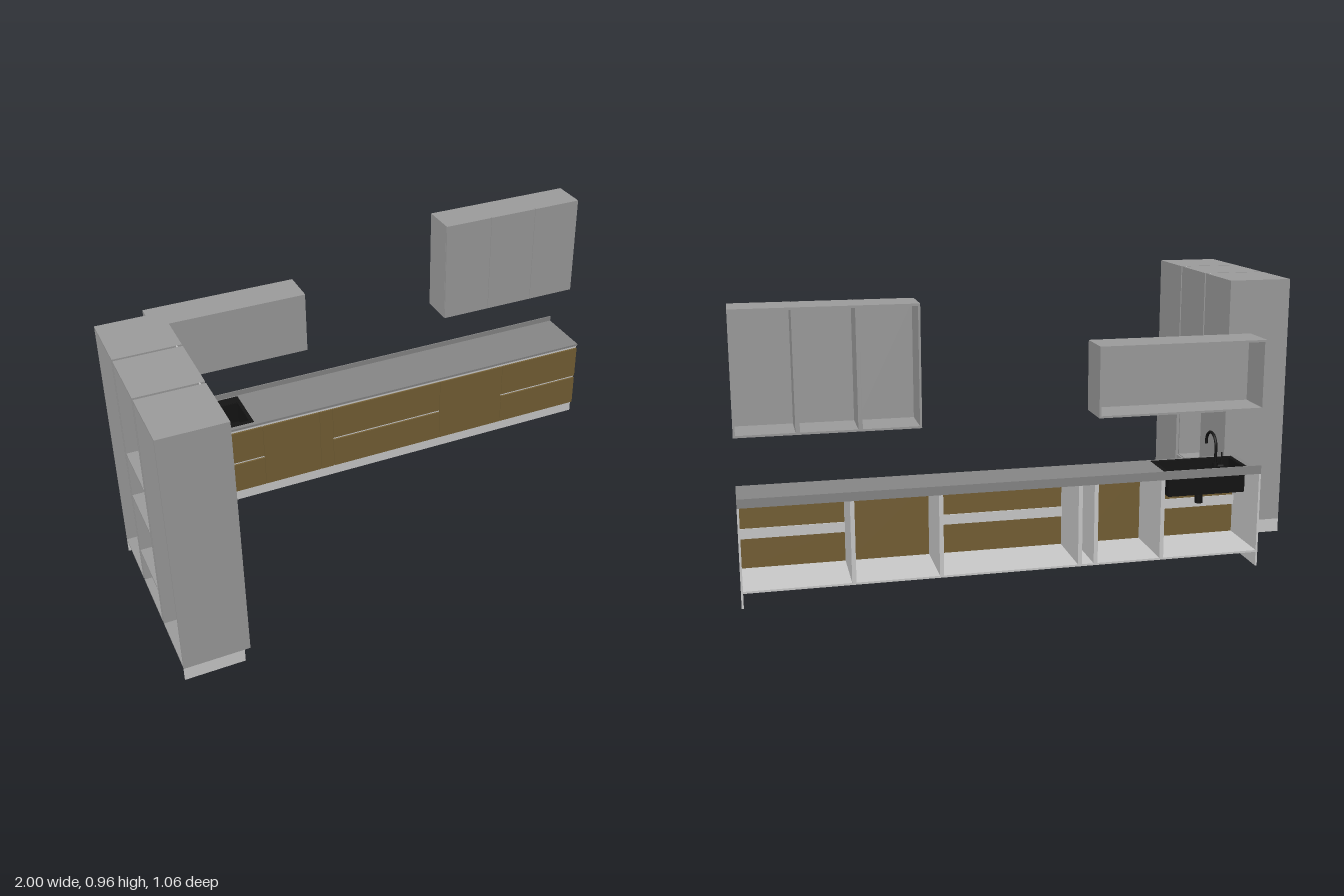
import * as THREE from 'three';

const mat = (color) => new THREE.MeshStandardMaterial({ color, side: THREE.DoubleSide });
const T = 0.007; // panel thickness

export function createModel() {
  const root = new THREE.Group();
  const light = mat(0xcccccc), grey = mat(0x9d9d9d), stone = mat(0x878787);
  const wood = mat(0x756035), black = mat(0x141414);

  const group = (name) => {
    const g = new THREE.Group();
    g.name = name;
    root.add(g);
    return g;
  };
  const add = (parent, name, geometry, material) => {
    const m = new THREE.Mesh(geometry, material);
    m.name = name;
    parent.add(m);
    return m;
  };
  // Box given by its limits on each axis
  const box = (parent, name, material, x0, x1, y0, y1, z0, z1) => {
    const m = add(parent, name, new THREE.BoxGeometry(x1 - x0, y1 - y0, z1 - z0), material);
    m.position.set((x0 + x1) / 2, (y0 + y1) / 2, (z0 + z1) / 2);
    return m;
  };
  // Flat sheet with rectangular holes, each [u0, u1, v0, v1]
  const sheet = (u0, u1, v0, v1, holes, depth) => {
    const rect = (P, a, b, c, d) => {
      const p = new P();
      p.moveTo(a, c); p.lineTo(b, c); p.lineTo(b, d); p.lineTo(a, d); p.closePath();
      return p;
    };
    const s = rect(THREE.Shape, u0, u1, v0, v1);
    holes.forEach((h) => s.holes.push(rect(THREE.Path, ...h)));
    return new THREE.ExtrudeGeometry(s, { depth, bevelEnabled: false });
  };

  // ---- Tall cabinets along the side, fronts facing +x, backs open ----
  const tall = group('tallCabinets');
  const bottom = 0.05, top = 0.96, back = -1, face = -0.777;
  const bays = [[-0.197, 0.039], [0.049, 0.286], [0.296, 0.53]];
  bays.forEach(([z0, z1], i) => {
    box(tall, 'tallSide', grey, back, face, bottom, top, z0, z0 + T);
    box(tall, 'tallSide', grey, back, face, bottom, top, z1 - T, z1);
    const levels = i === 1 ? [bottom, 0.186, 0.427, 0.6, top - T] : [bottom, top - T];
    levels.forEach((y) => box(tall, 'tallShelf', grey, back, face, y, y + T, z0 + T, z1 - T));
    const doors = i === 1 ? [[bottom, 0.19], [0.602, top]] : [[bottom, top]];
    doors.forEach(([y0, y1]) => box(tall, 'tallDoor', grey, face, -0.77, y0, y1, z0, z1));
  });
  // grip profiles in the gaps between the cabinets
  [0.044, 0.291].forEach((z) =>
    box(tall, 'tallGripProfile', light, -0.79, -0.786, bottom, top, z - 0.005, z + 0.005));

  // Plinth with ventilation slots
  const slots = [];
  [[-0.165, 0.003], [0.33, 0.5]].forEach(([a, b]) => {
    const mid = (a + b) / 2 - 0.03;
    for (let r = 0; r < 3; r++) {
      const y = 0.03 + r * 0.0062;
      slots.push([-mid + 0.001, -a, y, y + 0.004], [-b, -mid - 0.001, y, y + 0.004]);
    }
  });
  const vent = add(tall, 'tallPlinth', sheet(-0.53, 0.197, 0, bottom, slots, 0.005), light);
  vent.rotation.y = Math.PI / 2;
  vent.position.x = -0.795;
  box(tall, 'tallPlinthReturn', light, back, -0.79, 0, bottom, -0.197, -0.192);
  box(tall, 'tallPlinthReturn', light, back, -0.79, 0, bottom, 0.525, 0.53);

  // ---- Base cabinets along the back wall ----
  const base = group('baseCabinets');
  const L = -0.765, R = 1, zB = -0.53, zC = -0.312, zD = -0.305;
  const edges = [L, -0.41, -0.175, -0.12, 0.352, 0.64, R];
  const hasDrawers = [true, false, false, true, false, true];
  edges.slice(0, -1).forEach((x0, i) => {
    const x1 = edges[i + 1];
    box(base, 'baseSide', light, x0, x0 + T, bottom, 0.333, zB, zC);
    box(base, 'baseSide', light, x1 - T, x1, bottom, 0.333, zB, zC);
    box(base, 'baseFloor', light, x0 + T, x1 - T, bottom, bottom + T, zB, zC);
    const g = 0.001;
    if (hasDrawers[i]) {
      box(base, 'drawerFront', wood, x0 + g, x1 - g, bottom, 0.175, zC, zD);
      box(base, 'drawerFront', wood, x0 + g, x1 - g, 0.185, 0.32, zC, zD);
      box(base, 'drawerGripProfile', light, x0 + T, x1 - T, 0.163, 0.198, -0.324, -0.32);
    } else {
      box(base, 'baseDoor', wood, x0 + g, x1 - g, bottom, 0.32, zC, zD);
    }
  });
  box(base, 'topGripProfile', light, L + T, R - T, 0.306, 0.333, -0.318, -0.314);
  box(base, 'basePlinth', light, L, R, 0, bottom, -0.323, -0.318);
  box(base, 'plinthReturn', light, L, L + T, 0, bottom, zB, -0.318);
  box(base, 'plinthReturn', light, R - T, R, 0, bottom, zB, -0.318);

  // Worktop with the sink cut-out, and a low upstand
  const sx0 = -0.73, sx1 = -0.45, sz0 = -0.475, sz1 = -0.335;
  const slab = add(base, 'worktop', sheet(L, R, 0.304, 0.53, [[sx0, sx1, -sz1, -sz0]], 0.009), stone);
  slab.rotation.x = -Math.PI / 2;
  slab.position.y = 0.333;
  box(base, 'upstand', stone, L, R, 0.342, 0.363, zB, -0.526);

  // ---- Sink ----
  const sink = group('sink');
  const rim = add(sink, 'sinkRim',
    sheet(-0.742, -0.438, 0.321, 0.518, [[sx0, sx1, -sz1, -sz0]], 0.002), black);
  rim.rotation.x = -Math.PI / 2;
  rim.position.y = 0.342;
  const w = 0.003, yS = 0.255;
  box(sink, 'basinFloor', black, sx0, sx1, yS, yS + w, sz0, sz1);
  [[sx0, sx0 + w], [sx1 - w, sx1]].forEach(([a, b]) =>
    box(sink, 'basinWall', black, a, b, yS, 0.343, sz0, sz1));
  [[sz0, sz0 + w], [sz1 - w, sz1]].forEach(([a, b]) =>
    box(sink, 'basinWall', black, sx0, sx1, yS, 0.343, a, b));
  const cyl = (parent, name, r, h, x, y, z) => {
    const m = add(parent, name, new THREE.CylinderGeometry(r, r, h, 24), black);
    m.position.set(x, y, z);
    return m;
  };
  cyl(sink, 'drainPipe', 0.014, 0.05, -0.59, 0.23, -0.405);
  cyl(sink, 'drainKnob', 0.009, 0.007, -0.55, 0.347, -0.5);

  // ---- Tap with a curved spout and side lever ----
  const tap = group('tap');
  const tx = -0.607, tz = -0.502;
  cyl(tap, 'tapFoot', 0.013, 0.005, tx, 0.3465, tz);
  cyl(tap, 'tapBody', 0.009, 0.03, tx, 0.361, tz);
  const r = 0.043, pts = [[0.37, tz], [0.4, tz]];
  for (let i = 0; i <= 10; i++) {
    const a = Math.PI * (1 - i / 10);
    pts.push([0.429 + r * Math.sin(a), tz + r + r * Math.cos(a)]);
  }
  pts.push([0.422, tz + 2 * r]);
  const path = new THREE.CatmullRomCurve3(pts.map(([y, z]) => new THREE.Vector3(tx, y, z)));
  add(tap, 'tapSpout', new THREE.TubeGeometry(path, 48, 0.005, 12), black);
  cyl(tap, 'leverHub', 0.008, 0.03, tx - 0.013, 0.361, tz).rotation.z = Math.PI / 2;
  cyl(tap, 'lever', 0.0025, 0.045, tx - 0.022, 0.388, tz);

  // ---- Wall cabinets, open at the back ----
  const wall = (name, xs, y0, y1) => {
    const g = group(name);
    const zF = -0.4, zDoor = -0.393;
    xs.slice(0, -1).forEach((x0, i) => {
      const x1 = xs[i + 1];
      box(g, 'wallSide', grey, x0, x0 + T, y0, y1, zB, zF);
      box(g, 'wallSide', grey, x1 - T, x1, y0, y1, zB, zF);
      box(g, 'wallFloor', grey, x0 + T, x1 - T, y0, y0 + T, zB, zF);
      box(g, 'wallTop', grey, x0 + T, x1 - T, y1 - T, y1, zB, zF);
      box(g, 'wallDoor', grey, x0 + 0.001, x1 - 0.001, y0, y1, zF, zDoor);
    });
  };
  wall('lowWallCabinet', [L, -0.18], 0.56, 0.8);
  wall('highWallCabinets', [0.41, 0.606, 0.802, R], 0.56, 0.96);

  return root;
}
